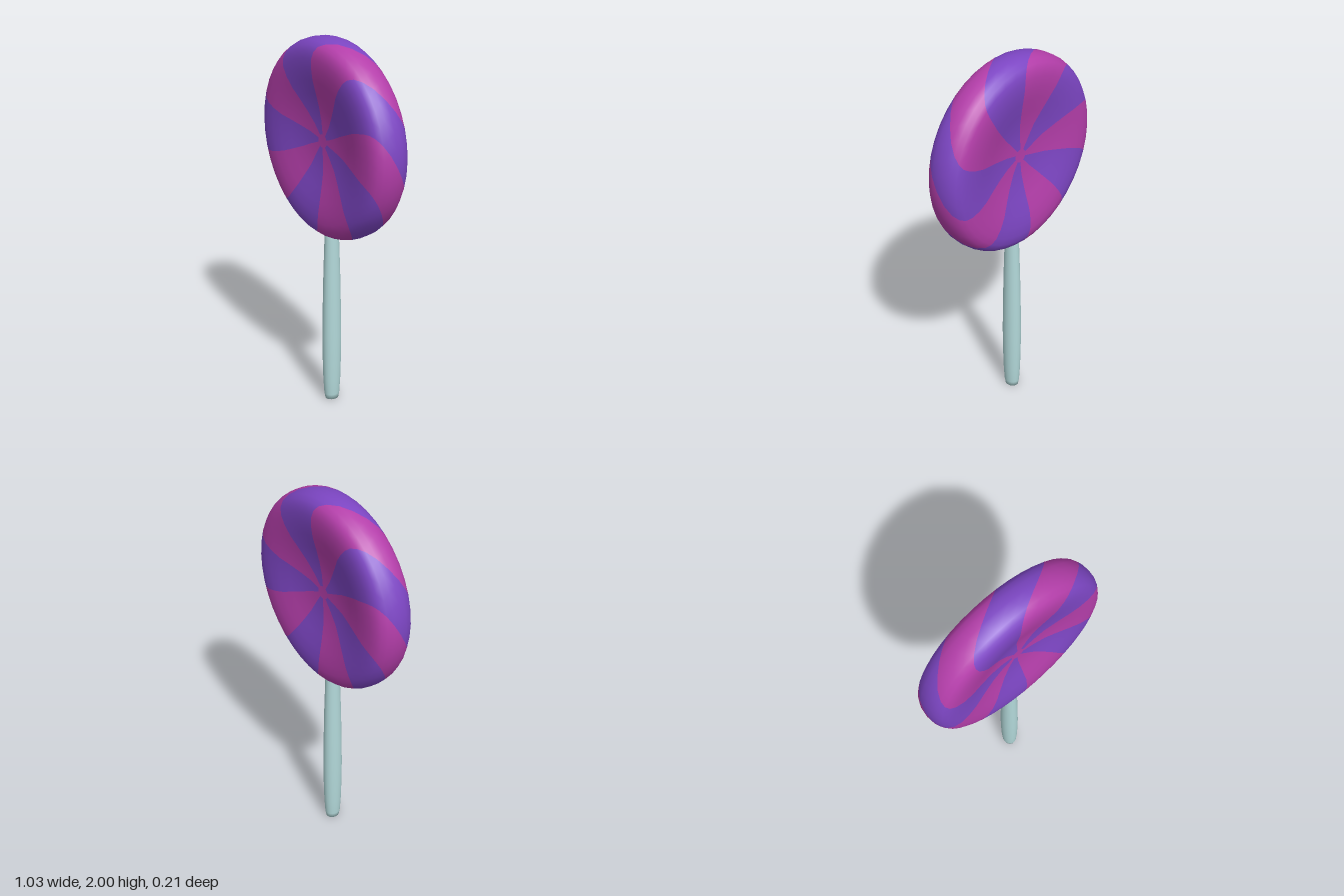
import * as THREE from 'three';

const mat = (name, color) => {
  const m = new THREE.MeshStandardMaterial({ color });
  m.name = name;
  return m;
};

// Candy disc: rings of vertices swept from the front centre over the rim to the back centre
function candyGeometry() {
  const sectors = 10, perSector = 4, cols = sectors * perSector;
  // radius, z, swirl in degrees
  const front = [
    [0, 0.058, 0], [0.035, 0.058, 0], [0.1, 0.06, 3], [0.17, 0.067, 5], [0.24, 0.081, 5],
    [0.31, 0.097, 5], [0.37, 0.106, 4], [0.42, 0.107, 3], [0.455, 0.101, 1.5],
    [0.48, 0.088, -1], [0.498, 0.066, -5], [0.51, 0.035, -11], [0.513, 0, -18],
  ];
  // the back is the front turned half round about y
  const back = front.slice(0, -1).reverse().map(([r, z, s]) => [r, -z, -36 - s]);
  const rings = [...front, ...back];

  const positions = [];
  for (const [r, z, swirl] of rings) {
    for (let j = 0; j < cols; j++) {
      const a = THREE.MathUtils.degToRad(90 + swirl + (j * 360) / cols);
      positions.push(r * Math.cos(a), r * Math.sin(a), z);
    }
  }

  // alternating stripes, with a pink dot at both centres
  const purple = [], pink = [];
  for (let i = 0; i < rings.length - 1; i++) {
    const first = i === 0, last = i === rings.length - 2;
    for (let j = 0; j < cols; j++) {
      const k = (j + 1) % cols;
      const a = i * cols + j, b = a + cols, d = i * cols + k, c = d + cols;
      const isPink = first || last || Math.floor(j / perSector) % 2 === 1;
      const list = isPink ? pink : purple;
      if (!last) list.push(a, b, c);
      if (!first) list.push(a, c, d);
    }
  }

  const geo = new THREE.BufferGeometry();
  geo.setAttribute('position', new THREE.Float32BufferAttribute(positions, 3));
  geo.setIndex([...purple, ...pink]);
  geo.addGroup(0, purple.length, 0);
  geo.addGroup(purple.length, pink.length, 1);
  geo.computeVertexNormals();
  // centre points face straight out
  const n = geo.attributes.normal;
  for (let j = 0; j < cols; j++) {
    n.setXYZ(j, 0, 0, 1);
    n.setXYZ((rings.length - 1) * cols + j, 0, 0, -1);
  }
  return geo;
}

export function createModel() {
  const group = new THREE.Group();
  group.name = 'lollipop';
  const purple = mat('purple candy', 0x7d46c4);
  const pink = mat('pink candy', 0xb43eaa);
  const paper = mat('pale blue stick', 0xb2d8d9);

  const candy = new THREE.Mesh(candyGeometry(), [purple, pink]);
  candy.name = 'candy';
  candy.position.y = 1.487;
  group.add(candy);

  // Stick: a slim handle, swelling in its lower half
  const profile = [
    [0, 0], [0.034, 0], [0.039, 0.03], [0.044, 0.12], [0.047, 0.25], [0.048, 0.38],
    [0.046, 0.55], [0.042, 0.75], [0.036, 0.95], [0.034, 1.03], [0, 1.04],
  ].map(([r, y]) => new THREE.Vector2(r, y));
  const stick = new THREE.Mesh(new THREE.LatheGeometry(profile, 20), paper);
  stick.name = 'stick';
  stick.scale.set(0.96, 1, 1.1);
  stick.position.x = -0.002;
  group.add(stick);

  return group;
}
